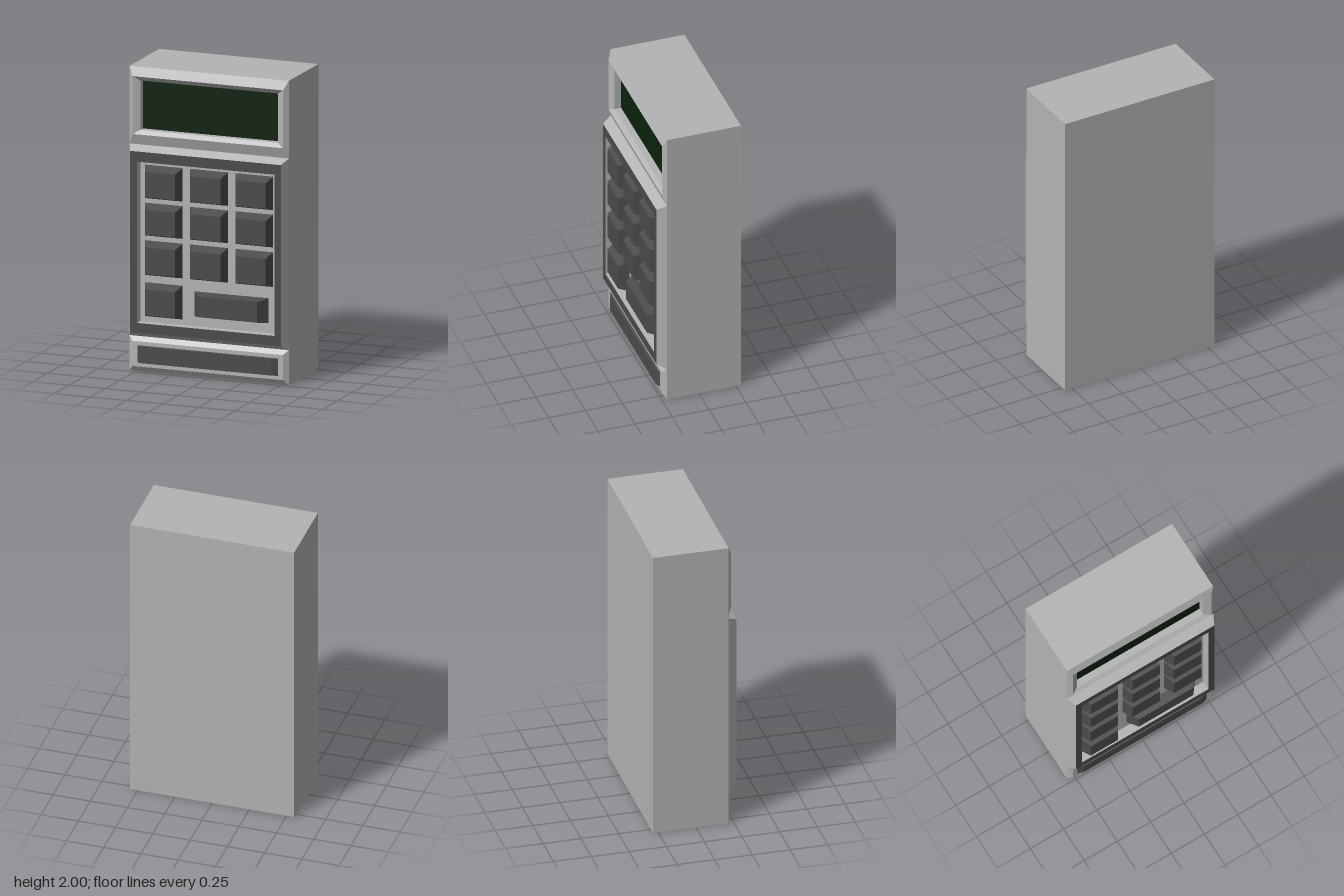
import * as THREE from 'three';

const mat = (name, color) => {
  const m = new THREE.MeshStandardMaterial({ color });
  m.name = name;
  return m;
};

// Rectangle ring: [x0, x1, y0, y1, z]; corners run counter-clockwise seen from the front
const corners = ([x0, x1, y0, y1, z]) => [[x0, y0, z], [x1, y0, z], [x1, y1, z], [x0, y1, z]];

// Joins a run of rectangles with flat faces, optionally closing the back and front
function loft(name, material, rings, { back = false, front = false } = {}) {
  const pos = [];
  const quad = (a, b, c, d) => [a, b, c, a, c, d].forEach((p) => pos.push(...p));
  const loops = rings.map(corners);
  for (let r = 0; r + 1 < loops.length; r++) {
    const a = loops[r], b = loops[r + 1];
    for (let i = 0; i < 4; i++) {
      const j = (i + 1) % 4;
      quad(a[i], a[j], b[j], b[i]);
    }
  }
  if (back) quad(...[...loops[0]].reverse());
  if (front) quad(...loops[loops.length - 1]);
  const geo = new THREE.BufferGeometry();
  geo.setAttribute('position', new THREE.Float32BufferAttribute(pos, 3));
  geo.computeVertexNormals();
  const mesh = new THREE.Mesh(geo, material);
  mesh.name = name;
  return mesh;
}

export function createModel() {
  const casing = mat('casing grey', 0xb4b4b4);
  const dark = mat('dark grey', 0x4b4b4b);
  const glass = mat('screen green', 0x0b210d);
  const model = new THREE.Group();
  model.name = 'keypadDevice';
  const Z = 0.215; // front plane of the casing

  // Casing box; its front is closed by the three sections below
  model.add(loft('casing', casing, [[-0.55, 0.55, 0, 2, -0.285], [-0.55, 0.55, 0, 2, Z]], { back: true }));

  // Display section: raised rim, sloped surround, sunken screen
  const screen = [-0.475, 0.475, 1.585, 1.91, 0.17];
  model.add(loft('displayBezel', casing, [
    [-0.55, 0.55, 1.49, 2, Z],
    [-0.52, 0.52, 1.56, 1.94, 0.24],
    [-0.475, 0.475, 1.585, 1.91, Z],
    screen,
  ]));
  model.add(loft('screen', glass, [screen], { front: true }));

  // Keypad section: bevelled block, dark frame, sunken panel
  const frameOuter = [-0.52, 0.52, 0.265, 1.457, 0.277];
  const frameInner = [-0.475, 0.475, 0.33, 1.39, 0.277];
  model.add(loft('keypadBevel', casing, [[-0.55, 0.55, 0.23, 1.49, Z], frameOuter]));
  model.add(loft('keypadFrame', dark, [frameOuter, frameInner]));
  model.add(loft('keypadPanel', casing, [frameInner, [-0.475, 0.475, 0.33, 1.39, Z]], { front: true }));

  // Keys: tapered blocks rising from the panel
  const keys = new THREE.Group();
  keys.name = 'keys';
  const addKey = (name, x0, x1, y0, y1, inset) => {
    const [l, r, b, t] = inset;
    keys.add(loft(name, dark, [
      [x0, x1, y0, y1, Z],
      [x0 + l, x1 - r, y0 + b, y1 - t, 0.285],
    ], { front: true }));
  };
  const columns = [-0.445, -0.132, 0.18];
  const rows = [[1.14, 1.36], [0.895, 1.11], [0.635, 0.863], [0.365, 0.587]];
  rows.forEach(([y0, y1], r) => {
    columns.forEach((x, c) => {
      if (r < 3 || c === 0) addKey('key', x, x + 0.262, y0, y1, [0.033, 0.024, 0.022, 0.03]);
    });
  });
  addKey('wideKey', -0.1, 0.41, 0.395, 0.558, [0.05, 0.052, 0.013, 0.015]);
  model.add(keys);

  // Bottom section with its long bar
  model.add(loft('bottomPanel', casing, [
    [-0.55, 0.55, 0, 0.23, Z],
    [-0.52, 0.52, 0.035, 0.2, 0.24],
  ], { front: true }));
  model.add(loft('bottomBar', dark, [
    [-0.497, 0.497, 0.06, 0.175, 0.235],
    [-0.447, 0.447, 0.062, 0.172, 0.256],
  ], { front: true }));

  return model;
}
